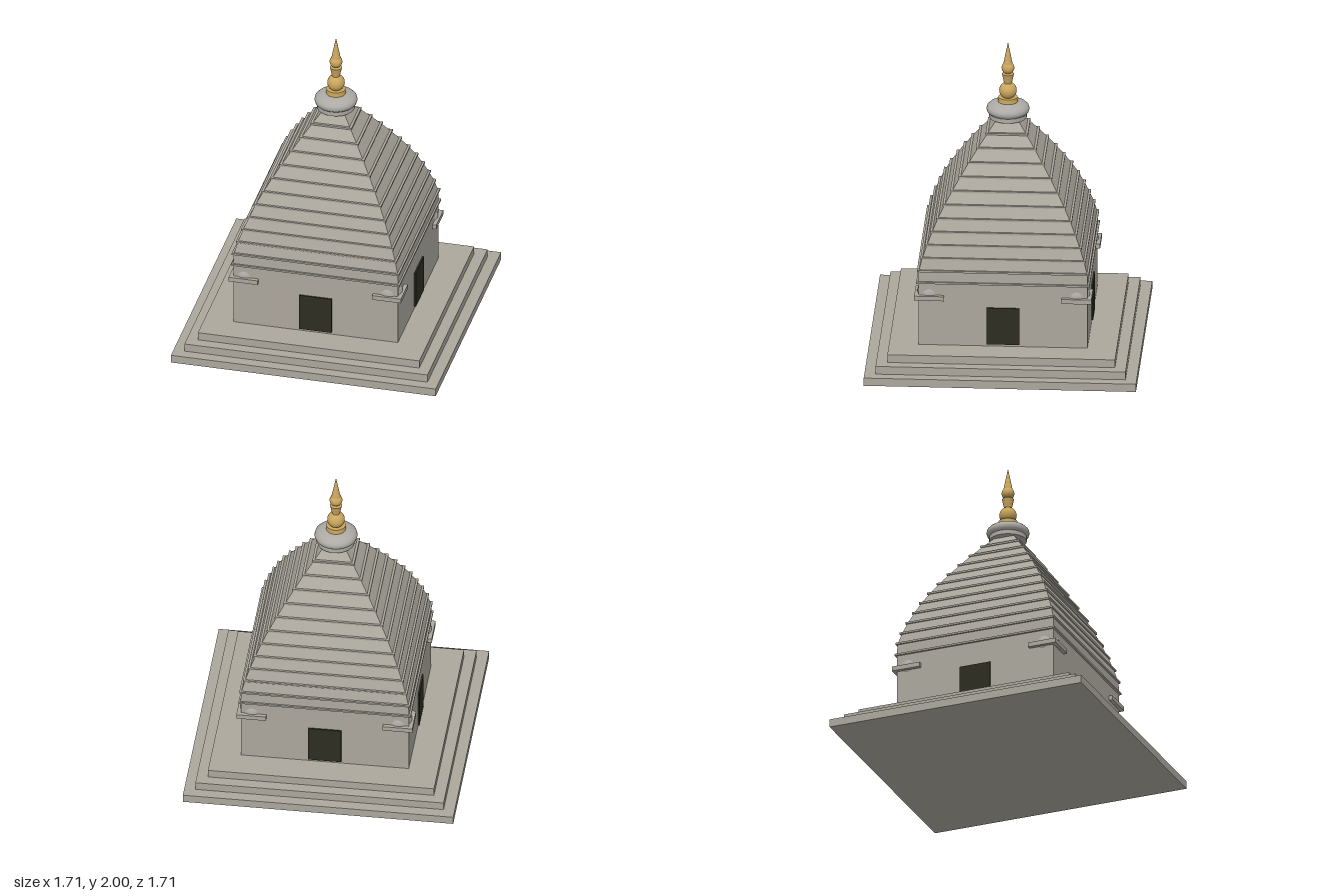
import * as THREE from 'three';

export function createModel() {
  const model = new THREE.Group();
  model.name = 'domedShrine';

  const material = (name, color, flatShading = false) => {
    const m = new THREE.MeshStandardMaterial({ color, flatShading });
    m.name = name;
    return m;
  };
  const stone = material('stone', 0xaba79d, true);
  const crownStone = material('crownStone', 0xaeaba6);
  const gold = material('gold', 0xcba75e);
  const dark = material('darkDoorway', 0x2d2c21);

  const add = (name, geometry, mat, x = 0, y = 0, z = 0) => {
    const mesh = new THREE.Mesh(geometry, mat);
    mesh.name = name;
    mesh.position.set(x, y, z);
    model.add(mesh);
    return mesh;
  };
  // Box with a square plan, given its half width and its bottom and top heights
  const slab = (name, half, y0, y1) =>
    add(name, new THREE.BoxGeometry(half * 2, y1 - y0, half * 2), stone, 0, (y0 + y1) / 2, 0);

  // Stepped plinth
  [0.855, 0.785, 0.715].forEach((half, i) =>
    slab(`plinthStep${i + 1}`, half, i * 0.052, (i + 1) * 0.052));

  // Square sanctum
  slab('sanctum', 0.531, 0.156, 0.577);

  // A doorway on each side
  for (let i = 0; i < 4; i++) {
    const a = (i * Math.PI) / 2;
    const door = add(`doorway${i + 1}`, new THREE.BoxGeometry(0.208, 0.245, 0.02), dark,
      Math.sin(a) * 0.531, 0.293, Math.cos(a) * 0.531);
    door.rotation.y = a;
  }

  // Corner ledges with small rounded bosses
  for (const sx of [-1, 1]) {
    for (const sz of [-1, 1]) {
      add('cornerLedge', new THREE.BoxGeometry(0.187, 0.03, 0.187), stone, sx * 0.463, 0.477, sz * 0.463);
      add('cornerBoss', new THREE.SphereGeometry(0.08, 24, 16), crownStone, sx * 0.463, 0.49, sz * 0.463);
    }
  }

  // Curved tower: tapered square tiers, each starting with a projecting band
  const halves = [0.533, 0.529, 0.508, 0.481, 0.45, 0.416, 0.376, 0.331, 0.283, 0.232, 0.179, 0.122, 0.064];
  const base = 0.577, step = 0.0773;
  for (let i = 0; i < halves.length - 1; i++) {
    const y = base + i * step;
    const tier = new THREE.CylinderGeometry(
      halves[i + 1] * Math.SQRT2, halves[i] * Math.SQRT2, step, 4, 1, false, Math.PI / 4);
    add(`towerTier${i + 1}`, tier, stone, 0, y + step / 2, 0);
    slab(`towerBand${i + 1}`, halves[i] + 0.011, y - 0.006, y + 0.006);
  }

  // Round neck and cushion crown
  add('crownNeck', new THREE.CylinderGeometry(0.118, 0.118, 0.034, 40), crownStone, 0, 1.513, 0);
  const cushion = [[0, 1.515], [0.09, 1.515], [0.115, 1.522], [0.13, 1.535], [0.135, 1.552],
    [0.131, 1.569], [0.115, 1.585], [0.085, 1.597], [0.05, 1.602], [0, 1.603]];
  add('crownCushion', new THREE.LatheGeometry(cushion.map(p => new THREE.Vector2(...p)), 40), crownStone);

  // Gilded finial
  add('finialBase', new THREE.CylinderGeometry(0.06, 0.062, 0.036, 32), gold, 0, 1.613, 0);
  add('finialPot', new THREE.SphereGeometry(0.055, 32, 20), gold, 0, 1.675, 0);
  add('finialFlare', new THREE.CylinderGeometry(0.038, 0.024, 0.065, 32), gold, 0, 1.754, 0);
  add('finialBead', new THREE.SphereGeometry(0.04, 32, 20), gold, 0, 1.827, 0);
  add('finialSpike', new THREE.ConeGeometry(0.03, 0.15, 32), gold, 0, 1.925, 0);

  return model;
}
